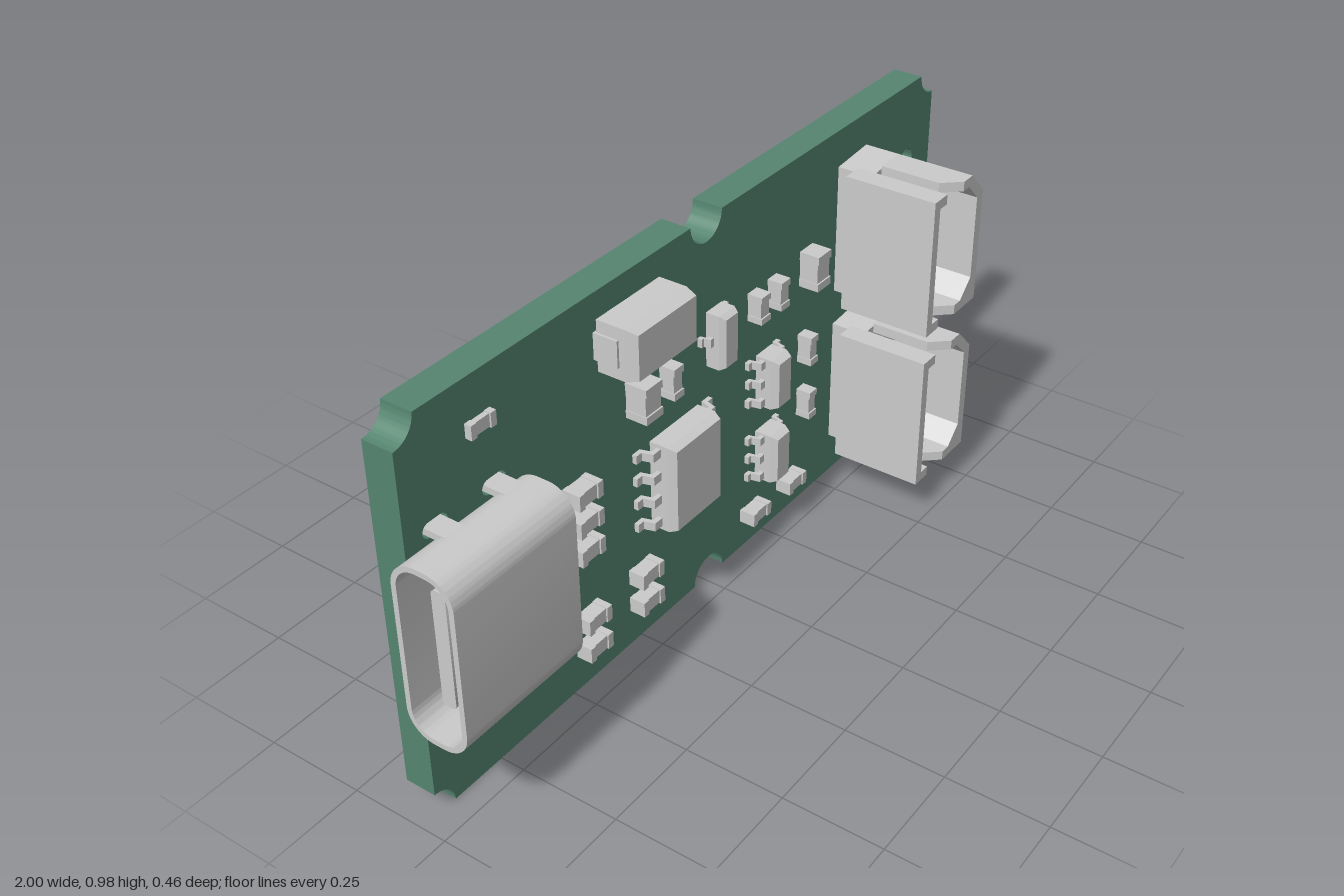
import * as THREE from 'three';
import { toCreasedNormals } from 'three/addons/utils/BufferGeometryUtils.js';

const grey = new THREE.MeshStandardMaterial({ color: 0xcccccc });
const green = new THREE.MeshStandardMaterial({ color: 0x558570 });
const BACK = -0.14, FACE = -0.062; // board surfaces
const L = -0.955, R = 1, H = 0.98;

function add(parent, name, geometry, material = grey) {
  const mesh = new THREE.Mesh(geometry, material);
  mesh.name = name;
  parent.add(mesh);
  return mesh;
}

function group(parent, name) {
  const g = new THREE.Group();
  g.name = name;
  parent.add(g);
  return g;
}

// Box given by its limits
function block(parent, name, x0, x1, y0, y1, z0, z1) {
  const m = add(parent, name, new THREE.BoxGeometry(x1 - x0, y1 - y0, z1 - z0));
  m.position.set((x0 + x1) / 2, (y0 + y1) / 2, (z0 + z1) / 2);
  return m;
}

// Box whose front face is drawn in by a bevel
function moulded(parent, name, x0, x1, y0, y1, z0, z1, bevel) {
  const w = x1 - x0, h = y1 - y0, d = z1 - z0;
  let g = new THREE.BoxGeometry(w, h, d, 1, 1, 2);
  const p = g.attributes.position;
  for (let i = 0; i < p.count; i++) {
    if (p.getZ(i) > d * 0.4) {
      p.setX(i, p.getX(i) - Math.sign(p.getX(i)) * bevel);
      p.setY(i, p.getY(i) - Math.sign(p.getY(i)) * bevel);
    } else if (Math.abs(p.getZ(i)) < 1e-6) p.setZ(i, d * 0.2);
  }
  g = toCreasedNormals(g, 0.1);
  add(parent, name, g).position.set((x0 + x1) / 2, (y0 + y1) / 2, (z0 + z1) / 2);
}

const extrude = (shape, depth) => toCreasedNormals(
  new THREE.ExtrudeGeometry(shape, { depth, bevelEnabled: false, curveSegments: 12 }), 0.6);

const polygon = pts => new THREE.Shape(pts.map(([x, y]) => new THREE.Vector2(x, y)));

function rounded(w, h, r, Type = THREE.Shape) {
  const s = new Type(), a = w / 2 - r, b = h / 2 - r;
  s.absarc(a, b, r, 0, Math.PI / 2);
  s.absarc(-a, b, r, Math.PI / 2, Math.PI);
  s.absarc(-a, -b, r, Math.PI, Math.PI * 1.5);
  s.absarc(a, -b, r, Math.PI * 1.5, Math.PI * 2);
  s.closePath();
  return s;
}

const tabXs = [-0.87, -0.7], tabYs = [0.285, 0.705];

function buildBoard(root) {
  const s = new THREE.Shape(), r = 0.058, mid = 0.02, P = Math.PI;
  s.moveTo(L + r, 0);
  s.absarc(mid, 0, r, P, 0, true);
  s.absarc(R, 0, r, P, P / 2, true);
  s.absarc(R, H, r, P * 1.5, P, true);
  s.absarc(mid, H, r, 0, -P, true);
  s.absarc(L, H, r, 0, -P / 2, true);
  s.absarc(L, 0, r, P / 2, 0, true);
  const hole = (x, y, rad) => s.holes.push(new THREE.Path().absarc(x, y, rad, 0, P * 2, true));
  for (const y of [0.19, 0.362, 0.602, 0.773]) hole(0.885, y, 0.031);
  for (const x of [-0.147, -0.093]) for (const y of [0.365, 0.415, 0.465]) hole(x, y, 0.009);
  for (const x of tabXs) for (const y of tabYs) {
    const slot = new THREE.Path();
    slot.absarc(x + 0.017, y, 0.018, -P / 2, P / 2);
    slot.absarc(x - 0.017, y, 0.018, P / 2, P * 1.5);
    slot.closePath();
    s.holes.push(slot);
  }
  add(root, 'board', extrude(s, FACE - BACK), green).position.z = BACK;
}

// Metal port at the left edge, open towards -x
function buildPort(root) {
  const port = group(root, 'edgePort');
  const cy = 0.495, cz = 0.018, depth = 0.158, height = 0.44;
  const along = (name, shape, x0, x1) => {
    const m = add(port, name, extrude(shape, x1 - x0).rotateY(Math.PI / 2));
    m.position.set(x0, cy, cz);
  };
  const shell = rounded(depth, height, 0.066);
  shell.holes.push(rounded(depth - 0.026, height - 0.026, 0.053, THREE.Path));
  along('portShell', shell, -1, -0.645);
  along('portCore', rounded(depth - 0.028, height - 0.028, 0.05), -0.74, -0.665);
  along('portTongue', rounded(0.036, 0.29, 0.012), -0.96, -0.74);
  // Mounting tabs reaching into the board slots
  for (const x of tabXs) for (const y of tabYs)
    block(port, 'portTab', x - 0.026, x + 0.026, y - 0.008, y + 0.008, -0.125, 0.02);
  // Comb of contacts behind the shell
  for (let i = 0; i < 12; i++) {
    const y = 0.33 + i * 0.03;
    block(port, 'portContact', -0.67, -0.62, y - 0.008, y + 0.008, FACE, -0.045);
    block(port, 'portContactRiser', -0.67, -0.645, y - 0.008, y + 0.008, -0.05, -0.01);
  }
}

// Two-pin socket; y is the bottom of the housing
function buildSocket(root, y) {
  const socket = group(root, 'pinSocket');
  const T = 0.358, top = 0.23, t = 0.025;
  const part = (name, pts, z0, z1) => {
    const m = add(socket, name, extrude(polygon(pts), z1 - z0));
    m.position.set(0, y, z0);
    return m;
  };
  part('socketFloor', [[0.56, 0.01], [0.745, 0], [0.745, T - 0.06], [0.685, T], [0.56, T - 0.01]], FACE, 0.03);
  part('socketLeftWall', [[0.51, 0], [0.565, 0], [0.565, t], [0.535, t],
    [0.535, T - t], [0.565, T - t], [0.565, T], [0.51, T]], -0.01, top);
  const wall = [[0.605, 0], [0.745, 0], [0.745, T - 0.06], [0.685, T], [0.605, T], [0.605, T - t],
    [0.672, T - t], [0.718, T - 0.071], [0.718, 0.07], [0.672, t], [0.605, t]];
  part('socketRightWall', wall, 0.03, 0.185);
  // Upper wall with slanted slot edges
  const rim = part('socketRightRim', wall, 0.185, top);
  const p = rim.geometry.attributes.position;
  for (let i = 0; i < p.count; i++)
    if (p.getX(i) < 0.61 && p.getZ(i) > 0.02) p.setX(i, 0.645);
  rim.geometry = toCreasedNormals(rim.geometry, 0.4);
  // Pins run through the board
  for (const py of [0.12, 0.245]) {
    const profile = [[0, -0.228], [0.011, -0.228], [0.0155, -0.218], [0.0155, 0.14], [0.009, 0.155], [0, 0.155]];
    const g = new THREE.LatheGeometry(profile.map(([a, b]) => new THREE.Vector2(a, b)), 16);
    add(socket, 'socketPin', toCreasedNormals(g, 0.5).rotateX(Math.PI / 2)).position.set(0.657, y + py, 0);
  }
}

// Small two-terminal part; terminals sit on the ends of the longer side
function buildPassive(root, x0, x1, y0, y1, top) {
  const g = group(root, 'passive');
  const e = 0.004, w = x1 - x0, h = y1 - y0;
  if (w > h) {
    block(g, 'passiveBody', x0 + e, x1 - e, y0 + e / 2, y1 - e / 2, FACE, top - e);
    for (const [a, b] of [[x0, x0 + w * 0.22], [x1 - w * 0.22, x1]])
      block(g, 'passiveTerminal', a, b, y0, y1, FACE, top);
  } else {
    block(g, 'passiveBody', x0 + e / 2, x1 - e / 2, y0 + e, y1 - e, FACE, top - e);
    for (const [a, b] of [[y0, y0 + h * 0.22], [y1 - h * 0.22, y1]])
      block(g, 'passiveTerminal', x0, x1, a, b, FACE, top);
  }
}

// Moulded chip with stepped leads on its left and right sides
function buildChip(root, name, [x0, x1, y0, y1], top, reach, leftYs, rightYs, lw) {
  const chip = group(root, name);
  moulded(chip, name + 'Body', x0, x1, y0, y1, FACE + 0.008, top, 0.008);
  const knee = FACE + (top - FACE) * 0.5;
  const lead = (edge, side, y) => {
    const s = polygon([[-0.01, knee], [reach * 0.5, knee], [reach * 0.65, FACE + 0.012], [reach, FACE + 0.012],
      [reach, FACE], [reach * 0.5, FACE], [reach * 0.35, knee - 0.012], [-0.01, knee - 0.012]].reverse());
    const m = add(chip, name + 'Lead', extrude(s, lw).translate(0, 0, -lw / 2).rotateX(Math.PI / 2).scale(1, 1, 1));
    // Profile height becomes depth; the left row is turned half round
    m.position.set(edge, y, 0);
    if (side < 0) m.rotation.z = Math.PI;
  };
  leftYs.forEach(y => lead(x0, -1, y));
  rightYs.forEach(y => lead(x1, 1, y));
}

export function createModel() {
  const root = new THREE.Group();
  root.name = 'circuitBoard';
  buildBoard(root);
  buildPort(root);
  for (const y of [0.103, 0.537]) buildSocket(root, y);

  // Chips
  const four = [0.322, 0.385, 0.448, 0.51];
  buildChip(root, 'mainChip', [-0.21, -0.03, 0.3, 0.53], 0.015, 0.053, four, four, 0.022);
  for (const y of [0.258, 0.472]) {
    const rows = [y - 0.053, y, y + 0.053];
    buildChip(root, 'driverChip', [0.205, 0.27, y - 0.068, y + 0.068], 0.008, 0.034, rows, rows, 0.02);
  }
  buildChip(root, 'transistor', [0.005, 0.065, 0.615, 0.755], -0.004, 0.022, [0.685], [0.637, 0.733], 0.022);

  // Large capacitor with end terminals
  const cap = group(root, 'largeCapacitor');
  moulded(cap, 'capacitorBody', -0.372, -0.158, 0.795, 0.92, FACE + 0.005, 0.045, 0.008);
  for (const x of [-0.378, -0.162])
    block(cap, 'capacitorTerminal', x, x + 0.012 + 0.0, 0.825, 0.89, FACE, 0.0);

  // Passives: x0, x1, y0, y1, top
  const passives = [
    [-0.767, -0.695, 0.848, 0.882, -0.045],
    [-0.28, -0.222, 0.628, 0.717, -0.005], [-0.16, -0.125, 0.62, 0.7, -0.02],
    [0.18, 0.217, 0.645, 0.717, -0.022], [0.262, 0.298, 0.643, 0.717, -0.022],
    [0.398, 0.453, 0.635, 0.728, -0.008],
    [0.398, 0.43, 0.422, 0.5, -0.022], [0.398, 0.43, 0.265, 0.342, -0.022],
    [0.155, 0.23, 0.08, 0.115, -0.02], [0.315, 0.39, 0.08, 0.115, -0.02],
  ];
  for (const y of [0.4, 0.475, 0.548]) passives.push([-0.5, -0.422, y - 0.02, y + 0.02, -0.015]);
  for (const y of [0.117, 0.195])
    for (const x of [-0.483, -0.289]) passives.push([x, x + 0.078, y - 0.02, y + 0.02, -0.02]);
  passives.forEach(p => buildPassive(root, ...p));
  return root;
}
